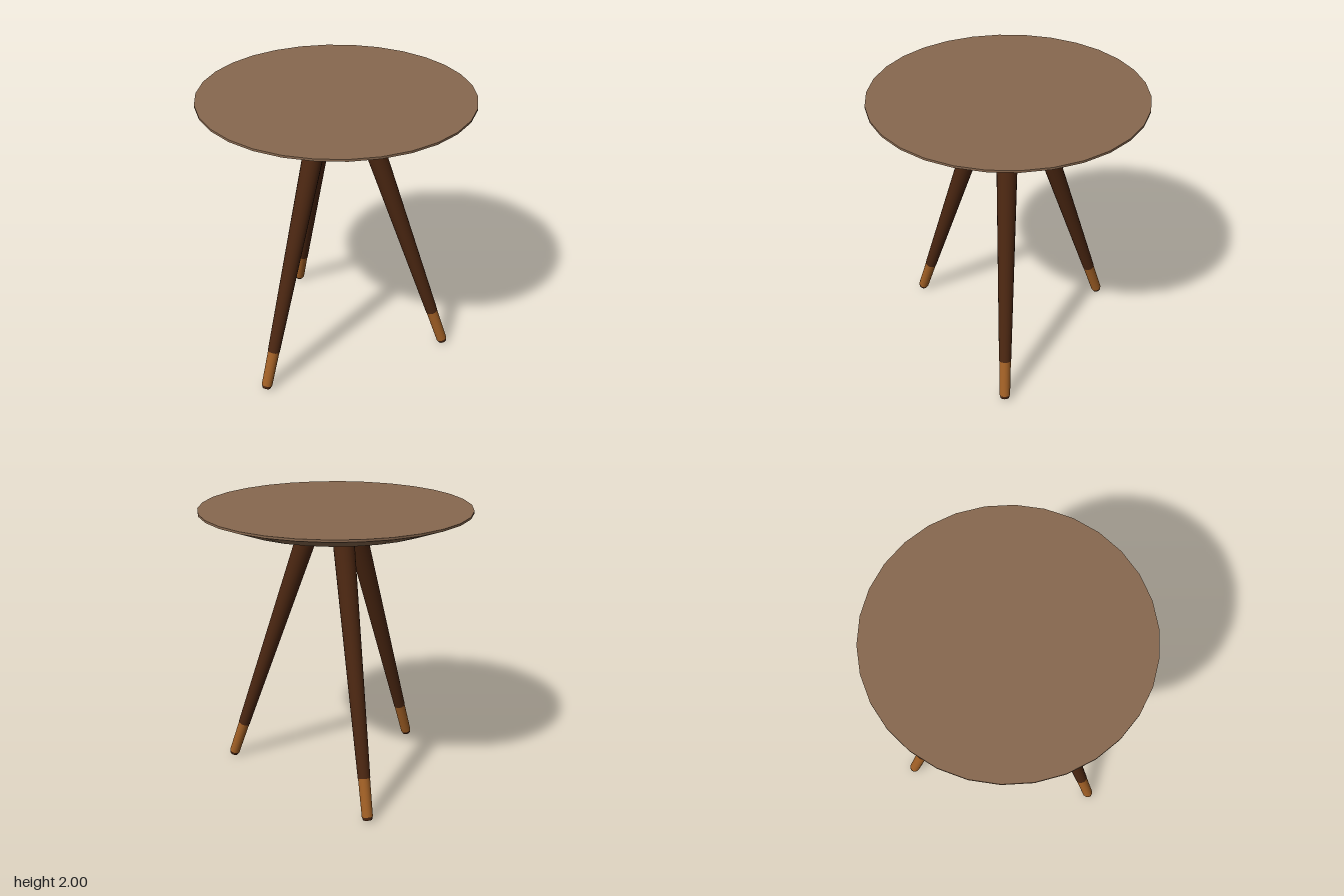
import * as THREE from 'three';

export function createModel() {
  const model = new THREE.Group();
  const mat = (name, color, flatShading = false) => {
    const m = new THREE.MeshStandardMaterial({ color, flatShading });
    m.name = name;
    return m;
  };
  const topWood = mat('light walnut', 0x87684f, true);
  const legWood = mat('dark wood', 0x4a2611);
  const copper = mat('copper', 0xa05f25);

  const add = (parent, name, geometry, material) => {
    const mesh = new THREE.Mesh(geometry, material);
    mesh.name = name;
    parent.add(mesh);
    return mesh;
  };

  // Table top: thin rim with a wide chamfer underneath
  const profile = [[0, 1.9], [0.715, 1.9], [0.944, 1.985], [0.944, 2], [0, 2]]
    .map(([r, y]) => new THREE.Vector2(r, y));
  add(model, 'tableTop', new THREE.LatheGeometry(profile, 30, Math.PI / 2), topWood);

  // Three splayed legs, each built along its own axis from foot to top
  const foot = new THREE.Vector3(0, 0.012, 0.82);
  const head = new THREE.Vector3(0, 1.92, 0.16);
  const axis = head.clone().sub(foot);
  const length = axis.length();
  const tilt = new THREE.Quaternion().setFromUnitVectors(
    new THREE.Vector3(0, 1, 0), axis.normalize());

  const section = (parent, name, from, to, r0, r1, material) => {
    const g = new THREE.CylinderGeometry(r1, r0, to - from, 20);
    add(parent, name, g, material).position.y = (from + to) / 2;
  };

  const names = ['backLeg', 'leftLeg', 'rightLeg'];
  [Math.PI, Math.PI / 3, -Math.PI / 3].forEach((angle, i) => {
    const leg = new THREE.Group();
    leg.name = names[i];
    leg.rotation.y = angle;
    const shaft = new THREE.Group();
    shaft.name = 'shaft';
    shaft.position.copy(foot);
    shaft.quaternion.copy(tilt);
    section(shaft, 'footTip', 0, 0.022, 0.031, 0.037, legWood);
    section(shaft, 'ferrule', 0.022, 0.287, 0.038, 0.041, copper);
    section(shaft, 'legWood', 0.287, length, 0.043, 0.076, legWood);
    leg.add(shaft);
    model.add(leg);
  });

  return model;
}
